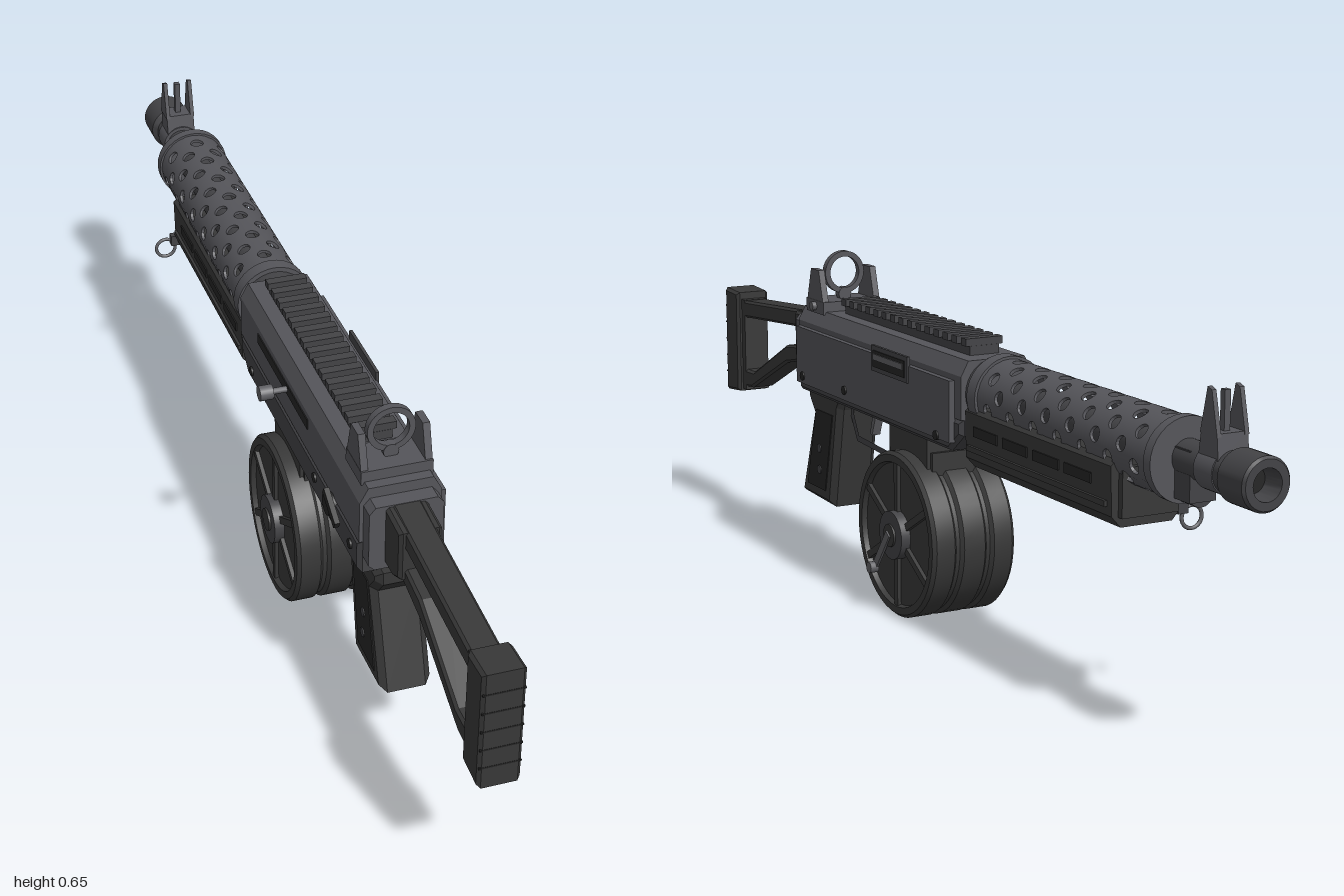
import * as THREE from 'three';
import { mergeGeometries, toCreasedNormals } from 'three/addons/utils/BufferGeometryUtils.js';

const paint = (name, color) => Object.assign(new THREE.MeshStandardMaterial({ color }), { name });

export function createModel() {
  const metal = paint('grey metal', 0x55555a);
  const lower = paint('dark metal', 0x434346);
  const polymer = paint('charcoal polymer', 0x383838);
  const black = paint('black', 0x262626);
  const steel = paint('steel', 0x606064);

  const root = new THREE.Group();
  root.name = 'shotgun';
  root.position.x = 0.005;

  const add = (name, geo, mat, x = 0, y = 0, z = 0, parent = root) => {
    const m = new THREE.Mesh(geo, mat);
    m.name = name;
    m.position.set(x, y, z);
    parent.add(m);
    return m;
  };
  const box = (name, mat, w, h, d, x, y, z) => add(name, new THREE.BoxGeometry(w, h, d), mat, x, y, z);
  // Cylinders along the z and x axes
  const cylZ = (name, mat, r, z0, z1, y, x = 0, r2 = r, n = 32) =>
    add(name, new THREE.CylinderGeometry(r, r2, Math.abs(z1 - z0), n).rotateX(Math.PI / 2), mat, x, y, (z0 + z1) / 2);
  const cylX = (name, mat, r, x0, x1, y, z, n = 24) =>
    add(name, new THREE.CylinderGeometry(r, r, Math.abs(x1 - x0), n).rotateZ(Math.PI / 2), mat, (x0 + x1) / 2, y, z);
  const poly = (pts, Type = THREE.Shape) => new Type(pts.map(p => new THREE.Vector2(...p)));
  // Side outline in [z, y], extruded across x
  const side = (name, mat, pts, w, { x = 0, hole, bevel = 0 } = {}) => {
    const s = poly(pts);
    if (hole) s.holes.push(poly(hole, THREE.Path));
    const g = new THREE.ExtrudeGeometry(s, {
      depth: w - 2 * bevel, bevelEnabled: bevel > 0, bevelSize: bevel, bevelThickness: bevel,
      bevelOffset: -bevel, bevelSegments: 1,
    });
    g.translate(0, 0, -w / 2 + bevel).rotateY(-Math.PI / 2);
    return add(name, g, mat, x);
  };
  // Cross-section given as its right half in [x, y], extruded from z0 to z1
  const section = (name, mat, half, z0, z1) => {
    const s = poly([...half, ...half.map(([x, y]) => [-x, y]).reverse()]);
    return add(name, new THREE.ExtrudeGeometry(s, { depth: z1 - z0, bevelEnabled: false }), mat, 0, 0, z0);
  };

  // Receiver
  section('upperReceiver', metal, [[0.073, 0.43], [0.073, 0.51], [0.058, 0.538]], -0.165, 0.53);
  side('lowerReceiver', lower, [[0.53, 0.365], [-0.12, 0.365], [-0.165, 0.4], [-0.165, 0.43], [0.53, 0.43]], 0.148, { bevel: 0.008 });
  section('receiverEndPlate', metal, [[0.055, 0.39], [0.066, 0.4], [0.066, 0.505], [0.055, 0.518]], 0.53, 0.56);
  box('sideCover', metal, 0.012, 0.115, 0.66, 0.078, 0.442, 0.19);
  box('ejectionPortFrame', lower, 0.006, 0.05, 0.15, 0.084, 0.492, 0.095);
  box('ejectionPort', black, 0.006, 0.032, 0.13, 0.086, 0.492, 0.095);
  box('bolt', steel, 0.006, 0.012, 0.12, 0.088, 0.496, 0.095);
  for (const [z, y] of [[0.295, 0.405], [-0.09, 0.39], [0.49, 0.4]])
    cylX('receiverPin', black, 0.009, -0.078, 0.087, y, z, 16);

  // Charging handle in its slot, and the selector lever
  box('handleSlot', black, 0.006, 0.02, 0.3, -0.072, 0.488, 0.1);
  cylX('chargingHandleShaft', steel, 0.006, -0.105, -0.07, 0.488, 0.13, 12);
  cylX('chargingHandleKnob', steel, 0.014, -0.127, -0.102, 0.488, 0.13);
  cylX('selectorPivot', black, 0.02, -0.086, -0.07, 0.415, 0.39);
  box('selectorLever', black, 0.01, 0.016, 0.07, -0.084, 0.425, 0.415).rotation.x = 0.5;

  // Top rail
  box('railBase', lower, 0.06, 0.018, 0.52, 0, 0.546, 0.14);
  for (let i = 0; i < 15; i++) box('railTooth', lower, 0.076, 0.014, 0.019, 0, 0.562, 0.39 - i * 0.0357);

  // Rear sight
  box('rearSightBase', metal, 0.128, 0.026, 0.08, 0, 0.545, 0.47);
  for (const x of [-0.057, 0.057])
    side('rearSightEar', metal, [[0.507, 0.555], [0.433, 0.555], [0.452, 0.62], [0.488, 0.62]], 0.013, { x });
  cylX('rearSightScrew', steel, 0.009, 0.06, 0.073, 0.546, 0.47, 12);
  cylZ('rearSightStem', metal, 0.014, 0.462, 0.478, 0.567, 0, 0.014, 16);
  const ring = new THREE.LatheGeometry(
    [[0.032, -0.007], [0.043, -0.007], [0.043, 0.007], [0.032, 0.007], [0.032, -0.007]].map(p => new THREE.Vector2(...p)), 32);
  add('rearSightRing', toCreasedNormals(ring.rotateX(Math.PI / 2), 0.6), metal, 0, 0.611, 0.47);

  // Perforated shroud: flat cells with a hole, bent round the barrel
  const R = 0.068, T = 0.006, COLS = 14, PITCH = 0.08, W = 2 * Math.PI * R / COLS;
  const cell = (col, zMid, len, holed) => {
    const s = poly([[-W / 2, -len / 2], [0, -len / 2], [W / 2, -len / 2], [W / 2, len / 2], [0, len / 2], [-W / 2, len / 2]]);
    if (holed) s.holes.push(new THREE.Path().absarc(0, 0, 0.0135, 0, Math.PI * 2, true));
    const g = new THREE.ExtrudeGeometry(s, { depth: T, bevelEnabled: false, curveSegments: 8 });
    const p = g.attributes.position, n = g.attributes.normal;
    for (let i = 0; i < p.count; i++) {
      const a = (col * W + p.getX(i)) / R, r = R - T + p.getZ(i), sin = Math.sin(a), cos = Math.cos(a);
      const nu = n.getX(i), nv = n.getY(i), nd = n.getZ(i);
      p.setXYZ(i, r * sin, r * cos, zMid - p.getY(i));
      n.setXYZ(i, nu * cos + nd * sin, nd * cos - nu * sin, -nv);
    }
    return g;
  };
  const cells = [];
  for (let c = 0; c < COLS; c++) {
    const odd = c % 2;
    for (let i = 0; i < 7 - odd; i++) cells.push(cell(c, -0.25 - (i + odd / 2) * PITCH, PITCH, true));
    if (odd) cells.push(cell(c, -0.23, 0.04, false), cell(c, -0.75, 0.04, false));
  }
  add('barrelShroud', mergeGeometries(cells), metal, 0, 0.477, 0);
  cylZ('shroudRearCollar', metal, 0.073, -0.215, -0.185, 0.477);
  cylZ('shroudNeck', lower, 0.064, -0.19, -0.16, 0.477);
  cylZ('shroudFrontCollar', metal, 0.072, -0.785, -0.765, 0.477);

  // Barrel and muzzle
  cylZ('barrel', lower, 0.031, -0.92, -0.2, 0.482);
  const muzzle = [[0.022, 0], [0.036, 0], [0.036, 0.025], [0.045, 0.035], [0.045, 0.1], [0.041, 0.105], [0.027, 0.105], [0.022, 0.06], [0, 0.06]];
  add('muzzle', toCreasedNormals(new THREE.LatheGeometry(muzzle.map(p => new THREE.Vector2(...p)), 32).rotateX(-Math.PI / 2), 0.5),
    lower, 0, 0.482, -0.895);
  cylZ('muzzleBore', black, 0.022, -0.962, -0.953, 0.482);
  box('barrelLug', lower, 0.05, 0.085, 0.045, 0, 0.46, -0.806);
  cylZ('magazineTube', lower, 0.024, -0.825, -0.6, 0.432);

  // Front sight
  cylZ('frontSightBand', metal, 0.038, -0.905, -0.855, 0.482);
  side('frontSightBase', metal, [[-0.855, 0.5], [-0.91, 0.5], [-0.905, 0.545], [-0.862, 0.545]], 0.058);
  for (const s of [-1, 1])
    side('frontSightEar', metal, [[-0.86, 0.54], [-0.907, 0.54], [-0.89, 0.612], [-0.878, 0.616]], 0.008, { x: s * 0.026 }).rotation.z = 0;
  box('frontSightPost', metal, 0.011, 0.07, 0.012, 0, 0.575, -0.884);

  // Foregrip with slots and a sling ring
  section('foregrip', polymer, [[0.05, 0.345], [0.068, 0.365], [0.07, 0.45], [0.06, 0.46]], -0.668, -0.175);
  box('foregripCap', polymer, 0.11, 0.085, 0.016, 0, 0.405, -0.672);
  for (const s of [-1, 1]) {
    for (let i = 0; i < 4; i++) box('foregripSlot', black, 0.008, 0.018, 0.085, s * 0.068, 0.418, -0.25 - i * 0.105);
    box('foregripRib', polymer, 0.008, 0.01, 0.47, s * 0.07, 0.385, -0.42);
  }
  box('slingLug', lower, 0.02, 0.022, 0.016, -0.071, 0.365, -0.662);
  add('slingRing', new THREE.TorusGeometry(0.02, 0.0035, 8, 28), steel, -0.091, 0.346, -0.665);

  // Stock
  side('stockHinge', polymer, [[0.63, 0.415], [0.6, 0.4], [0.555, 0.4], [0.555, 0.515], [0.63, 0.51]], 0.075, { bevel: 0.006 });
  side('stockUpperStrut', polymer, [[0.94, 0.45], [0.62, 0.475], [0.55, 0.48], [0.55, 0.518], [0.62, 0.512], [0.94, 0.487]], 0.054, { bevel: 0.005 });
  side('stockLowerStrut', polymer, [[0.94, 0.295], [0.885, 0.3], [0.7, 0.387], [0.615, 0.405], [0.615, 0.437], [0.7, 0.425], [0.875, 0.337], [0.94, 0.335]], 0.054, { bevel: 0.005 });
  side('stockBackBar', polymer, [[0.94, 0.29], [0.915, 0.29], [0.915, 0.49], [0.94, 0.49]], 0.054);
  side('buttPad', polymer, [[1, 0.278], [0.932, 0.285], [0.932, 0.505], [1, 0.508]], 0.074, { bevel: 0.006 });
  for (let i = 0; i < 5; i++) box('buttPadGroove', black, 0.072, 0.003, 0.003, 0, 0.32 + i * 0.037, 0.999);

  // Pistol grip, guard and trigger
  side('pistolGrip', polymer, [[0.585, 0.135], [0.44, 0.13], [0.4, 0.34], [0.385, 0.37], [0.55, 0.37], [0.55, 0.345], [0.525, 0.315]], 0.094, { bevel: 0.012 });
  for (const s of [-1, 1])
    side('gripPanel', black, [[0.55, 0.16], [0.465, 0.16], [0.428, 0.325], [0.505, 0.325]], 0.005, { x: s * 0.0465 });
  for (const y of [0.2, 0.245]) cylX('gripScrew', lower, 0.009, -0.051, 0.051, y, 0.49, 12);
  side('triggerGuard', lower, [[0.405, 0.37], [0.405, 0.33], [0.375, 0.28], [0.22, 0.273], [0.203, 0.37]], 0.036,
    { hole: [[0.39, 0.36], [0.39, 0.334], [0.367, 0.292], [0.232, 0.286], [0.22, 0.36]] });
  side('trigger', steel, [[0.335, 0.37], [0.308, 0.37], [0.312, 0.335], [0.326, 0.3], [0.335, 0.302], [0.325, 0.335]], 0.018);

  // Drum magazine
  const DY = 0.163, DZ = 0.075;
  box('magazineNeck', polymer, 0.114, 0.09, 0.155, 0, 0.325, DZ);
  box('magazineTower', polymer, 0.1, 0.12, 0.17, 0, 0.275, DZ);
  box('magazineCatch', lower, 0.04, 0.05, 0.025, 0, 0.345, 0.172);
  const outline = [[0, 0.077], [0.138, 0.077], [0.141, 0.087], [0.155, 0.087], [0.161, 0.08], [0.161, 0.042], [0.154, 0.036], [0.154, 0.028], [0.161, 0.022]];
  const full = [...outline.map(([r, x]) => [r, -x]), ...outline.slice().reverse()];
  add('drum', toCreasedNormals(new THREE.LatheGeometry(full.map(p => new THREE.Vector2(...p)), 48).rotateZ(-Math.PI / 2), 0.5),
    polymer, 0, DY, DZ);
  for (const s of [-1, 1]) {
    for (let i = 0; i < 6; i++) {
      const a = i * Math.PI / 3 + Math.PI / 6;
      box('drumSpoke', polymer, 0.009, 0.014, 0.1, s * 0.08, DY + Math.sin(a) * 0.09, DZ + Math.cos(a) * 0.09).rotation.x = -a;
    }
    cylX('drumHub', lower, 0.047, s * 0.07, s * 0.096, DY, DZ, 32);
    cylX('drumHubCap', polymer, 0.022, s * 0.09, s * 0.1, DY, DZ);
  }

  // Winding crank
  const arm = box('crankArm', steel, 0.005, 0.016, 0.1, 0.101, DY - 0.036, DZ + 0.028);
  arm.rotation.x = Math.atan2(0.075, 0.056);
  cylX('crankKnob', steel, 0.011, 0.098, 0.115, DY - 0.075, DZ + 0.056, 16);

  return root;
}
